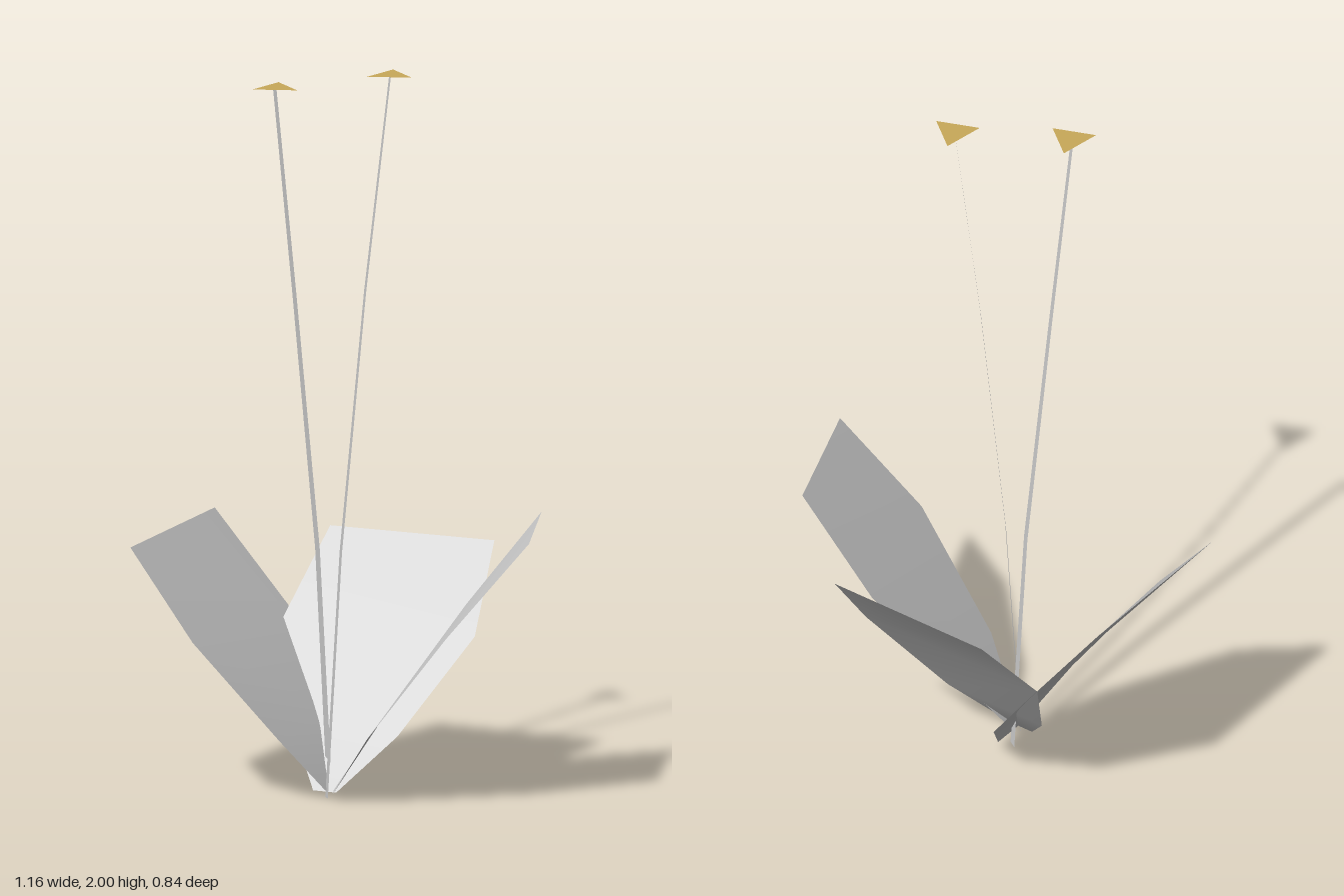
import * as THREE from 'three';

const grey = new THREE.MeshStandardMaterial({ color: 0xcccccc, side: THREE.DoubleSide });
const tan = new THREE.MeshStandardMaterial({ color: 0xc9a959, side: THREE.DoubleSide });

// Thin strip of quads through pairs of edge points, from base to tip
function strip(name, rows) {
  const index = [];
  for (let i = 0; i < rows.length - 1; i++) {
    const a = i * 2;
    index.push(a, a + 1, a + 3, a, a + 3, a + 2);
  }
  const geometry = new THREE.BufferGeometry();
  geometry.setAttribute('position', new THREE.Float32BufferAttribute(rows.flat(2), 3));
  geometry.setIndex(index);
  geometry.computeVertexNormals();
  const mesh = new THREE.Mesh(geometry, grey);
  mesh.name = name;
  return mesh;
}

// Flat stem: widens a path sideways, across the direction in which it leans
function stem(name, path) {
  const first = path[0], last = path[path.length - 1];
  const side = new THREE.Vector2(last[2] - first[2], first[0] - last[0]).normalize();
  return strip(name, path.map(([x, y, z], i) => {
    const w = 0.0135 - 0.0015 * i;
    return [[x - side.x * w, y, z - side.y * w], [x + side.x * w, y, z + side.y * w]];
  }));
}

// Flat three-sided flower head
function flowerHead(name, x, y, z) {
  const mesh = new THREE.Mesh(new THREE.CircleGeometry(0.071, 3).rotateX(-Math.PI / 2), tan);
  mesh.position.set(x, y, z);
  mesh.name = name;
  return mesh;
}

export function createModel() {
  const plant = new THREE.Group();
  plant.name = 'plant';

  // Three broad leaves: base, lower, widest and tip edges
  plant.add(
    strip('leftLeaf', [
      [[0, 0.02, 0.13], [-0.04, 0.02, 0.07]],
      [[0.145, 0.195, 0.175], [0.035, 0.2, -0.05]],
      [[0.395, 0.5, 0.155], [0.175, 0.505, -0.25]],
      [[0.58, 0.765, 0.025], [0.38, 0.775, -0.315]],
    ]),
    strip('backLeaf', [
      [[-0.015, 0.015, 0.095], [-0.085, 0.015, 0.105]],
      [[0.09, 0.16, -0.045], [-0.23, 0.16, 0]],
      [[0.21, 0.42, -0.24], [-0.37, 0.42, -0.155]],
      [[0.147, 0.65, -0.42], [-0.35, 0.645, -0.347]],
    ]),
    strip('rightLeaf', [
      [[-0.06, 0.02, 0], [-0.04, 0.02, 0.11]],
      [[-0.18, 0.18, -0.135], [-0.1, 0.175, 0.245]],
      [[-0.4, 0.44, -0.22], [-0.265, 0.455, 0.417]],
      [[-0.585, 0.702, -0.135], [-0.475, 0.695, 0.415]],
    ]),
  );

  // Two tall, slightly bent stems with their heads
  plant.add(
    stem('rightStem', [[-0.08, 0.005, 0.035], [-0.093, 0.68, 0.073], [-0.12, 1.4, 0.144], [-0.147, 1.975, 0.198]]),
    flowerHead('rightFlowerHead', -0.146, 1.976, 0.193),
    stem('leftStem', [[-0.04, 0, 0.105], [-0.015, 0.68, 0.073], [0.027, 1.4, 0.018], [0.073, 1.999, -0.035]]),
    flowerHead('leftFlowerHead', 0.076, 2, -0.033),
  );
  return plant;
}
